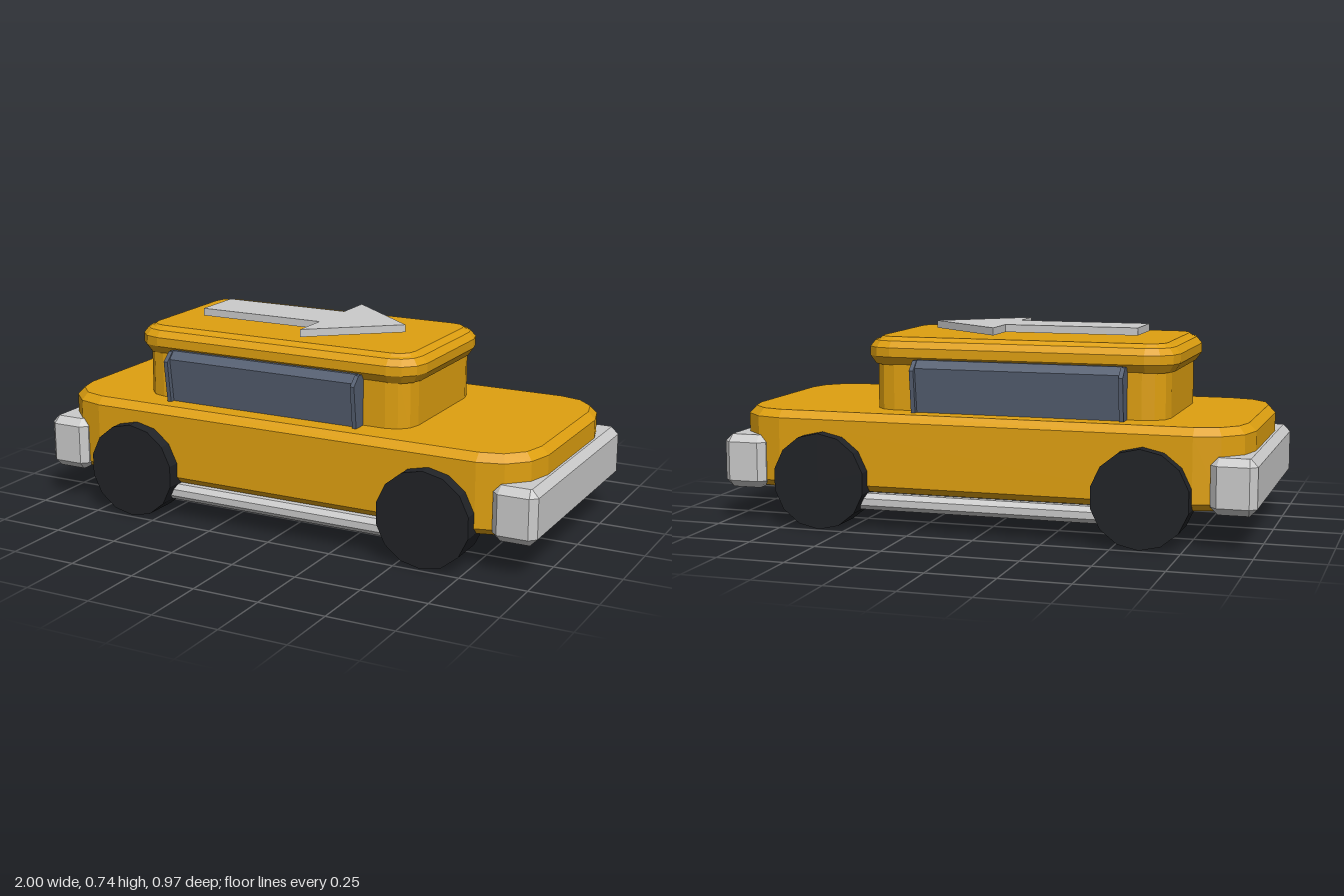
import * as THREE from 'three';

const paint = (color) => new THREE.MeshStandardMaterial({ color, flatShading: true });
const yellow = paint(0xdfa010), chrome = paint(0xdadade), black = paint(0x212327);
const glass = paint(0x566072), grey = paint(0xcccccc);

// Rounded rectangle outline in x/z
function outline(hx, hz, r, segs) {
  const pts = [];
  [[1, 1], [-1, 1], [-1, -1], [1, -1]].forEach(([sx, sz], q) => {
    for (let i = 0; i <= segs; i++) {
      const a = (q + i / segs) * Math.PI / 2;
      pts.push([sx * (hx - r) + r * Math.cos(a), sz * (hz - r) + r * Math.sin(a)]);
    }
  });
  return pts;
}

// Closed solid lofted through rounded rectangles; profile lists [inset, y] from the bottom up
function loft(hx, hz, r, segs, profile) {
  const rings = profile.map(([inset, y]) =>
    outline(hx - inset, hz - inset, Math.max(r - inset, 0.004), segs).map(([x, z]) => [x, y, z]));
  const pos = [];
  const tri = (a, b, c) => pos.push(...a, ...b, ...c);
  const n = rings[0].length, top = rings[rings.length - 1], bottom = rings[0];
  for (let i = 0; i < n; i++) {
    const j = (i + 1) % n;
    for (let k = 0; k + 1 < rings.length; k++) {
      const lo = rings[k], hi = rings[k + 1];
      tri(lo[i], hi[i], hi[j]);
      tri(lo[i], hi[j], lo[j]);
    }
    tri([0, top[0][1], 0], top[j], top[i]);
    tri([0, bottom[0][1], 0], bottom[i], bottom[j]);
  }
  const g = new THREE.BufferGeometry();
  g.setAttribute('position', new THREE.Float32BufferAttribute(pos, 3));
  g.computeVertexNormals();
  return g;
}

// Prism from a 2D polygon
function prism(points, depth) {
  const shape = new THREE.Shape(points.map(([x, y]) => new THREE.Vector2(x, y)));
  return new THREE.ExtrudeGeometry(shape, { depth, bevelEnabled: false });
}

export function createModel() {
  const car = new THREE.Group();
  car.name = 'toyCar';
  const add = (name, geometry, material, x = 0, y = 0, z = 0, parent = car) => {
    const mesh = new THREE.Mesh(geometry, material);
    mesh.name = name;
    mesh.position.set(x, y, z);
    parent.add(mesh);
    return mesh;
  };

  // Body, cabin and overhanging roof
  add('body', loft(0.965, 0.435, 0.19, 3,
    [[0.025, 0.137], [0, 0.162], [0, 0.4], [0.027, 0.428]]), yellow);
  add('cabin', loft(0.557, 0.3, 0.09, 3, [[0, 0.42], [0, 0.63]]), yellow, -0.098);
  add('roof', loft(0.588, 0.32, 0.11, 3,
    [[0.022, 0.595], [0, 0.626], [0, 0.66], [0.02, 0.684], [0.036, 0.688], [0.048, 0.698]]), yellow, -0.098);

  // Arrow hovering over the roof, pointing to +x
  const arrow = prism([[-0.505, -0.1], [0, -0.1], [0, -0.25], [0.305, 0],
    [0, 0.25], [0, 0.1], [-0.505, 0.1]], 0.028).rotateX(-Math.PI / 2);
  add('roofArrow', arrow, grey, 0, 0.71, 0);

  // Bumpers at both ends
  for (const s of [1, -1]) {
    add(s > 0 ? 'frontBumper' : 'rearBumper', loft(0.082, 0.449, 0.025, 1,
      [[0.026, 0.13], [0, 0.157], [0, 0.303], [0.026, 0.33]]), chrome, s * 0.918);
  }

  // Each long side: window, sill pipe and two wheels
  const wheelGeo = new THREE.CylinderGeometry(0.178, 0.178, 0.145, 14).rotateX(Math.PI / 2);
  const pipeGeo = new THREE.CylinderGeometry(0.033, 0.033, 1, 8)
    .rotateY(Math.PI / 8).rotateZ(Math.PI / 2);
  // Section axes are (-z, y); turning by +90 degrees about y extrudes along +x
  const paneGeo = prism([[-0.28, 0.428], [-0.28, 0.62], [-0.33, 0.62],
    [-0.357, 0.592], [-0.336, 0.428]], 0.77).rotateY(Math.PI / 2);
  const finGeo = prism([[-0.28, 0.428], [-0.28, 0.618], [-0.337, 0.618],
    [-0.374, 0.585], [-0.355, 0.428]], 0.016).rotateY(Math.PI / 2);
  for (const s of [1, -1]) {
    const side = new THREE.Group();
    side.name = s > 0 ? 'leftSide' : 'rightSide';
    car.add(side);
    const glazing = new THREE.Group();
    glazing.name = 'sideWindow';
    glazing.position.x = -0.115;
    glazing.rotation.y = s > 0 ? 0 : Math.PI;
    side.add(glazing);
    add('windowPane', paneGeo, glass, -0.385, 0, 0, glazing);
    for (const e of [1, -1]) add('windowFin', finGeo, glass, e * 0.39 - 0.008, 0, 0, glazing);
    add('sillPipe', pipeGeo, chrome, 0, 0.104, s * 0.415, side);
    for (const x of [0.6, -0.6]) {
      add(x > 0 ? 'frontWheel' : 'rearWheel', wheelGeo, black, x, 0.178, s * 0.412, side);
    }
  }
  return car;
}
